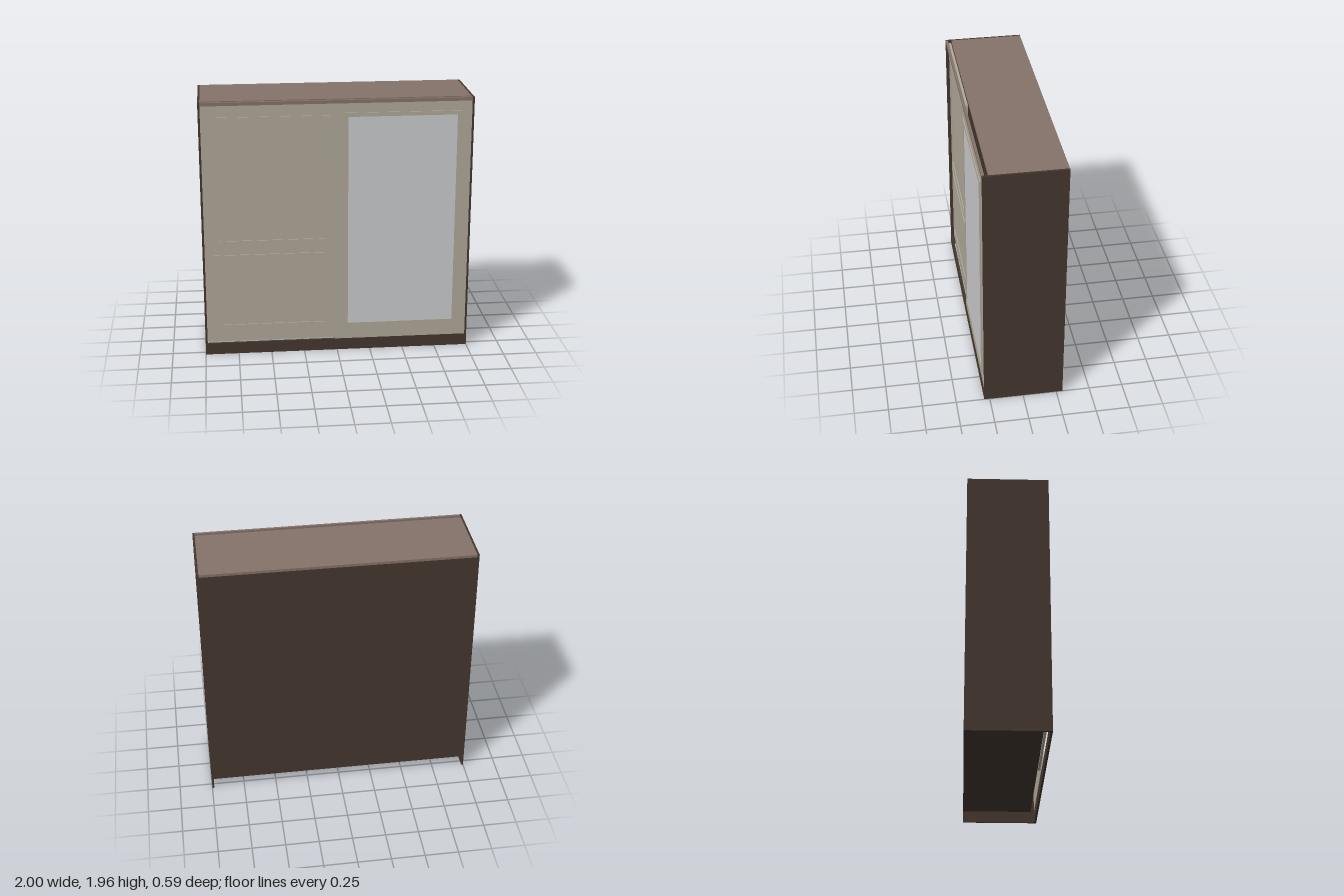
import * as THREE from 'three';

export function createModel() {
  const mat = (name, color) => {
    const m = new THREE.MeshStandardMaterial({ color });
    m.name = name;
    return m;
  };
  const darkWood = mat('dark wood', 0x46382f);
  const brownWood = mat('brown wood', 0x86736a);
  const doorPaint = mat('beige door', 0xb1aa9a);
  const mirrorGlass = mat('mirror glass', 0xcccdd0);

  const root = new THREE.Group();
  root.name = 'slidingWardrobe';

  // Box given by its lower and upper limits on each axis
  function box(parent, name, material, [x0, x1], [y0, y1], [z0, z1]) {
    const mesh = new THREE.Mesh(new THREE.BoxGeometry(x1 - x0, y1 - y0, z1 - z0), material);
    mesh.position.set((x0 + x1) / 2, (y0 + y1) / 2, (z0 + z1) / 2);
    mesh.name = name;
    parent.add(mesh);
  }

  // Raised rectangular moulding with an open centre
  function moulding(parent, name, [x0, x1], [y0, y1], z, width, depth) {
    const rect = (path, a, b, c, d) =>
      path.moveTo(a, c).lineTo(b, c).lineTo(b, d).lineTo(a, d).closePath();
    const shape = rect(new THREE.Shape(), x0, x1, y0, y1);
    shape.holes.push(rect(new THREE.Path(), x0 + width, x1 - width, y0 + width, y1 - width));
    const geometry = new THREE.ExtrudeGeometry(shape, { depth, bevelEnabled: false });
    const mesh = new THREE.Mesh(geometry, doorPaint);
    mesh.position.z = z;
    mesh.name = name;
    parent.add(mesh);
  }

  const back = -0.297, front = 0.291, inner = 0.985, height = 1.955;

  // Carcass
  box(root, 'leftSide', darkWood, [inner, 1], [0, height], [back, front]);
  box(root, 'rightSide', darkWood, [-1, -inner], [0, height], [back, front]);
  box(root, 'backPanel', darkWood, [-inner, inner], [0.09, 1.935], [back, back + 0.01]);
  box(root, 'bottomPanel', darkWood, [-inner, inner], [0.09, 0.107], [back + 0.01, 0.246]);
  box(root, 'topPanel', brownWood, [-inner, inner], [1.935, height], [back, 0.246]);
  box(root, 'plinth', darkWood, [-inner, inner], [0, 0.09], [0.276, front]);
  box(root, 'topRail', brownWood, [-inner, inner], [1.93, height], [0.273, front]);

  // Rear sliding door with two framed panels
  const rearDoor = new THREE.Group();
  rearDoor.name = 'panelDoor';
  root.add(rearDoor);
  box(rearDoor, 'panelDoorLeaf', doorPaint, [-inner, 0.02], [0.095, 1.935], [0.25, 0.267]);
  moulding(rearDoor, 'upperMoulding', [-0.92, -0.05], [0.86, 1.84], 0.267, 0.04, 0.007);
  moulding(rearDoor, 'lowerMoulding', [-0.92, -0.05], [0.19, 0.79], 0.267, 0.04, 0.007);

  // Front sliding door with a framed mirror
  const frontDoor = new THREE.Group();
  frontDoor.name = 'mirrorDoor';
  root.add(frontDoor);
  box(frontDoor, 'mirrorDoorLeaf', doorPaint, [-0.02, inner], [0.09, 1.93], [0.273, 0.289]);
  moulding(frontDoor, 'mirrorMoulding', [0.05, 0.91], [0.19, 1.86], 0.289, 0.03, 0.008);
  box(frontDoor, 'mirror', mirrorGlass, [0.08, 0.88], [0.22, 1.83], [0.288, 0.291]);

  return root;
}
